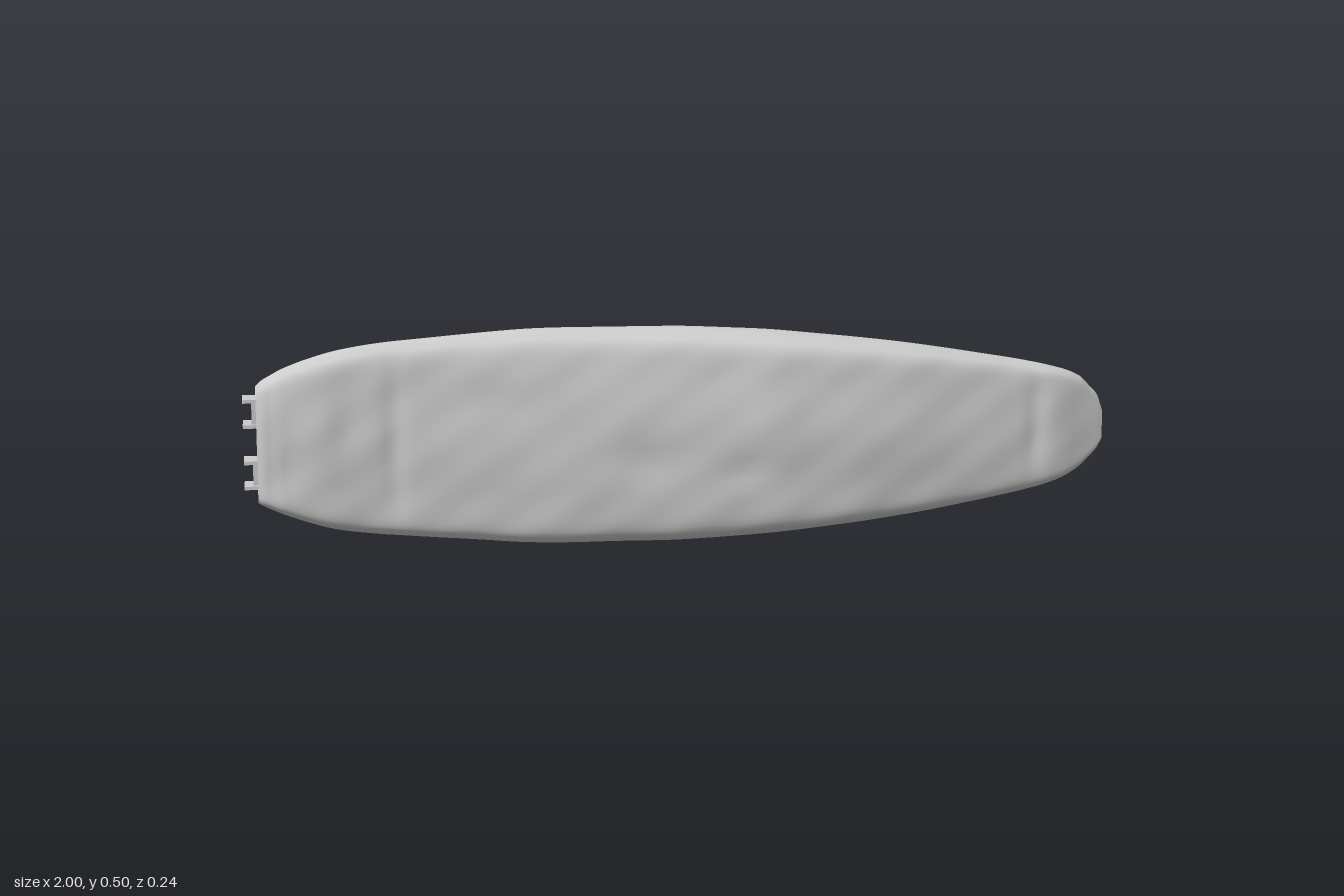
import * as THREE from 'three';
import { ConvexGeometry } from 'three/addons/geometries/ConvexGeometry.js';

const grey = new THREE.MeshStandardMaterial({ color: 0xcccccc });
const greyFlat = new THREE.MeshStandardMaterial({ color: 0xcccccc, flatShading: true });

// stations along the slab: x, bottom y, top y, front z, back z
const stations = [
  [-0.97, 0.11, 0.38, 0.035, -0.045],
  [-0.95, 0.1, 0.4, 0.053, -0.048],
  [-0.9, 0.078, 0.425, 0.06, -0.05],
  [-0.8, 0.045, 0.457, 0.062, -0.052],
  [-0.7, 0.031, 0.473, 0.055, -0.056],
  [-0.5, 0.014, 0.489, 0.066, -0.064],
  [-0.36, 0.002, 0.499, 0.079, -0.074],
  [-0.28, 0, 0.5, 0.087, -0.09],
  [0, 0, 0.498, 0.109, -0.093],
  [0.2, 0.01, 0.486, 0.12, -0.09],
  [0.4, 0.028, 0.463, 0.107, -0.087],
  [0.5, 0.039, 0.45, 0.095, -0.085],
  [0.6, 0.052, 0.434, 0.08, -0.073],
  [0.8, 0.085, 0.398, 0.05, -0.045],
  [0.88, 0.104, 0.38, 0.049, -0.036],
  [0.94, 0.13, 0.36, 0.024, -0.028],
  [0.98, 0.165, 0.33, 0.011, -0.014],
  [1, 0.2, 0.27, 0.003, -0.003],
];

// section outline: depth (1 = front, -1 = back) and height fraction
const outline = [
  [0.17, 1], [0.55, 0.975], [0.82, 0.91], [0.91, 0.77], [1, 0.52],
  [0.95, 0.25], [0.88, 0.085], [0.66, 0.022], [0.15, 0],
  [-0.35, 0.04], [-0.8, 0.12], [-1, 0.22], [-1, 0.5], [-1, 0.83], [-0.88, 0.89], [-0.35, 0.955],
];

function stationAt(x) {
  let i = 0;
  while (i < stations.length - 2 && x > stations[i + 1][0]) i++;
  const a = stations[i], b = stations[i + 1];
  const t = (x - a[0]) / (b[0] - a[0]);
  return a.map((v, k) => v + (b[k] - v) * t);
}

// rounds off the corners between stations, less so toward the ends
function smoothStation(x) {
  const w = Math.min(0.035, x + 0.97, 1 - x);
  const near = [-1, -0.5, 0, 0.5, 1].map((s) => stationAt(x + s * w));
  return near[0].map((_, k) => near.reduce((sum, s) => sum + s[k], 0) / near.length);
}

// worn surface: soft waves, dents and two upright grooves across the front
const dents = [ // x, y, x radius, y radius, depth, side
  [-0.77, 0.28, 0.04, 0.08, 0.008, 1], [-0.9, 0.22, 0.04, 0.08, 0.006, 1],
  [-0.66, 0.26, 0.025, 0.16, 0.008, 1], [0.83, 0.25, 0.025, 0.1, 0.008, 1],
  [-0.1, 0.2, 0.06, 0.04, 0.008, 1], [-0.42, 0.34, 0.07, 0.04, 0.005, 1],
  [0.14, 0.17, 0.06, 0.025, 0.006, 1], [-0.14, 0.24, 0.04, 0.04, 0.016, -1],
  [-0.2, 0.11, 0.04, 0.04, 0.01, -1],
];
function relief(x, y, side) {
  let d = 0.002 * Math.sin(13 * x + 9 * y) * Math.sin(21 * y - 7 * x)
    + 0.0013 * Math.sin(37 * x - 23 * y + 1) * Math.sin(31 * y + 5);
  for (const [dx, dy, rx, ry, h, s] of dents)
    if (s === side) d -= h * Math.exp(-(((x - dx) / rx) ** 2) - ((y - dy) / ry) ** 2);
  return d;
}

function slabGeometry() {
  const nx = 180, nr = 80;
  const ring = new THREE.CatmullRomCurve3(
    outline.map(([d, h]) => new THREE.Vector3(d, h, 0)), true, 'centripetal').getPoints(nr);
  const pos = [], index = [];
  for (let i = 0; i <= nx; i++) {
    const x = 0.015 - 0.985 * Math.cos(Math.PI * i / nx);
    const [, yb, yt, zf, zb] = smoothStation(x);
    const fade = Math.min(1, (zf - zb) / 0.09);
    for (let j = 0; j < nr; j++) {
      const { x: d, y: h } = ring[j];
      const y = yb + (yt - yb) * h, side = d > 0 ? 1 : -1;
      const z = d > 0 ? d * zf : -d * zb;
      pos.push(x, y, z + side * relief(x, y, side) * fade * Math.min(1, Math.abs(d) * 1.3));
    }
  }
  for (let i = 0; i < nx; i++) for (let j = 0; j < nr; j++) {
    const a = i * nr + j, b = i * nr + (j + 1) % nr;
    index.push(a, b, a + nr, b, b + nr, a + nr);
  }
  // end caps, with their own corners so the rims stay crisp
  for (const end of [0, nx]) {
    const first = pos.length / 3;
    for (let j = 0; j < nr; j++) pos.push(...pos.slice((end * nr + j) * 3, (end * nr + j) * 3 + 3));
    for (let j = 1; j < nr - 1; j++)
      index.push(first, ...(end ? [first + j, first + j + 1] : [first + j + 1, first + j]));
  }
  const g = new THREE.BufferGeometry();
  g.setAttribute('position', new THREE.Float32BufferAttribute(pos, 3));
  g.setIndex(index);
  g.computeVertexNormals();
  return g;
}

export function createModel() {
  const group = new THREE.Group();
  const add = (name, geometry, material, x = 0, y = 0, z = 0) => {
    const m = new THREE.Mesh(geometry, material);
    m.name = name;
    m.position.set(x, y, z);
    group.add(m);
  };

  add('slab', slabGeometry(), grey);

  // raised wedge on the back: slopes up to the top ridge, overhangs the lower edge
  const wedge = [
    [-0.31, 0.385, -0.122], [-0.31, 0.115, -0.121], [-0.275, 0.41, -0.1], [-0.275, 0.09, -0.1],
    [-0.26, 0.43, -0.07], [-0.26, 0.085, -0.06], [-0.3, 0.493, -0.005], [-0.31, 0.09, -0.085],
    [-0.6, 0.476, 0], [-0.8, 0.448, 0], [-0.9, 0.415, 0],
    [-0.968, 0.27, -0.098], [-0.968, 0.18, -0.095], [-0.968, 0.372, 0], [-0.968, 0.15, -0.03],
  ].map((p) => new THREE.Vector3(...p));
  add('backWedge', new ConvexGeometry(wedge), greyFlat);

  // two connector clips on the narrow end: a web with a pair of flanges each
  for (const y of [0.32, 0.178]) {
    add('clipWeb', new THREE.BoxGeometry(0.012, 0.06, 0.04), greyFlat, -0.974, y, 0);
    for (const s of [-1, 1])
      add('clipFlange', new THREE.BoxGeometry(0.04, 0.008, 0.06), greyFlat, -0.98, y + s * 0.029, 0);
  }
  return group;
}
